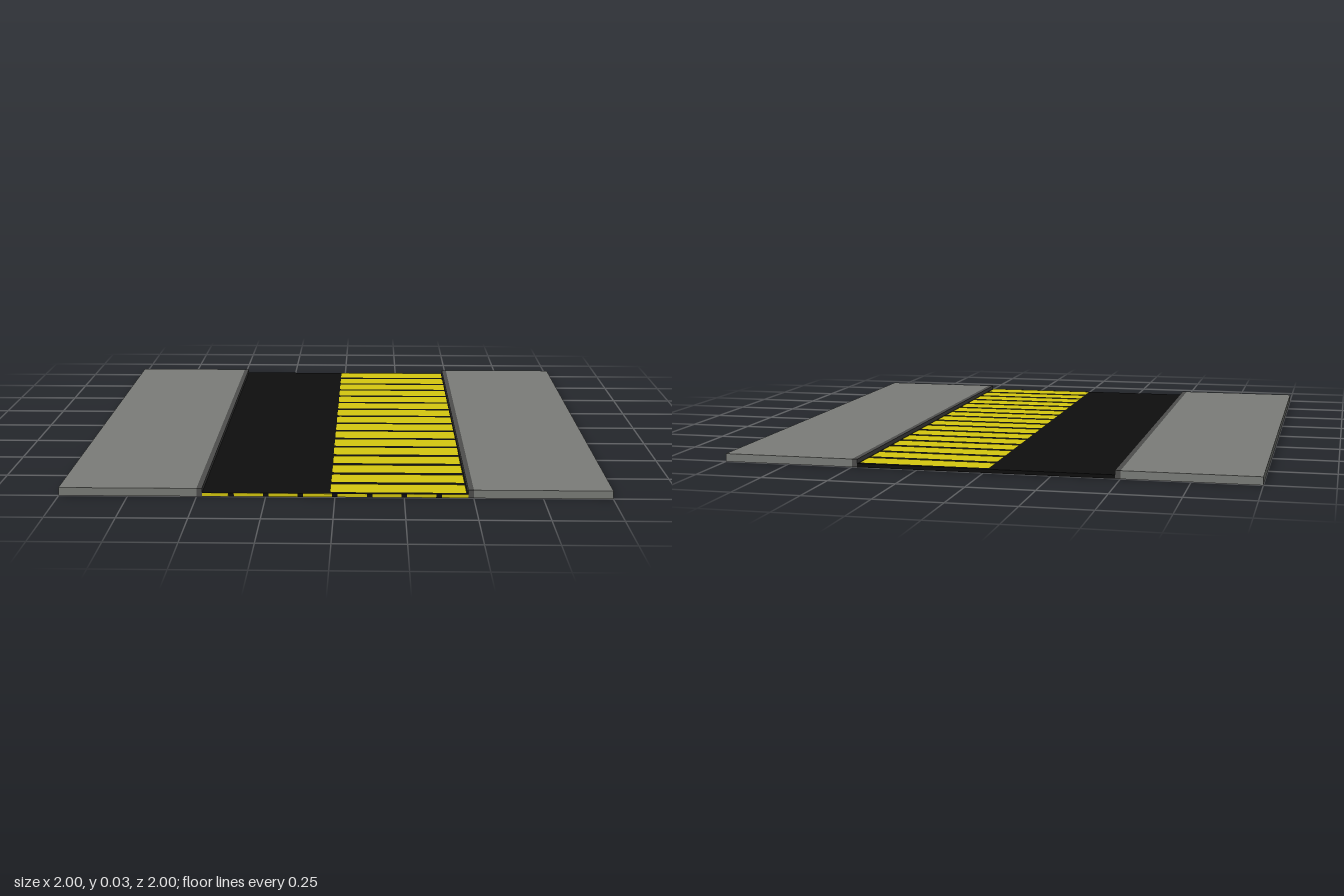
import * as THREE from 'three';

const mat = (name, color, side = THREE.FrontSide) => {
  const m = new THREE.MeshStandardMaterial({ color, side });
  m.name = name;
  return m;
};

export function createModel() {
  const group = new THREE.Group();
  const paving = mat('paving grey', 0x7b7d79);
  const kerb = mat('kerb dark grey', 0x4e4e4d);
  const asphalt = mat('asphalt black', 0x0e0e0e, THREE.DoubleSide);
  const yellow = mat('marking yellow', 0xd6c80f, THREE.DoubleSide);

  const add = (name, geometry, material, x, y, z) => {
    const mesh = new THREE.Mesh(geometry, material);
    mesh.name = name;
    mesh.position.set(x, y, z);
    group.add(mesh);
    return mesh;
  };

  const walkH = 0.03, roadY = 0.014, half = 0.48;

  // Raised pavements with a darker kerb along the road
  for (const [side, s] of [['left', 1], ['right', -1]]) {
    add(side + 'Pavement', new THREE.BoxGeometry(0.5, walkH, 2), paving, s * 0.75, walkH / 2, 0);
    add(side + 'Kerb', new THREE.BoxGeometry(0.02, walkH, 2), kerb, s * 0.49, walkH / 2, 0);
  }

  // Road surface: a thin sheet, open underneath
  add('roadSurface', new THREE.PlaneGeometry(half * 2, 2).rotateX(-Math.PI / 2), asphalt, 0, roadY, 0);
  add('backEdge', new THREE.PlaneGeometry(half * 2, roadY), asphalt, 0, roadY / 2, -1);

  // Dashed edges at the front of each of the two road sections
  for (const z of [0.999, 0]) {
    add('sectionEdge', new THREE.PlaneGeometry(half * 2, roadY), asphalt, 0, roadY / 2, z);
    for (let i = 0; i < 8; i++) {
      const x0 = Math.max(-half, -0.5 + i * 0.125 + 0.01);
      const x1 = Math.min(half, -0.5 + (i + 1) * 0.125 - 0.01);
      add('edgeDash', new THREE.BoxGeometry(x1 - x0, roadY - 0.002, 0.002), yellow,
        (x0 + x1) / 2, roadY / 2, z);
    }
  }

  // Crossing bars with rounded corners
  const x0 = -0.018, x1 = 0.475, h = 0.05, r = 0.01;
  const bar = new THREE.Shape();
  bar.moveTo(x0 + r, -h);
  bar.lineTo(x1, -h);
  bar.lineTo(x1, h);
  bar.lineTo(x0 + r, h);
  bar.quadraticCurveTo(x0, h, x0, h - r);
  bar.lineTo(x0, -h + r);
  bar.quadraticCurveTo(x0, -h, x0 + r, -h);
  const barGeometry = new THREE.ShapeGeometry(bar, 4).rotateX(-Math.PI / 2);
  for (let i = 0; i < 16; i++) {
    add('crossingBar', barGeometry, yellow, 0, roadY + 0.0015, -1 + (i + 0.5) * 0.125);
  }

  return group;
}
